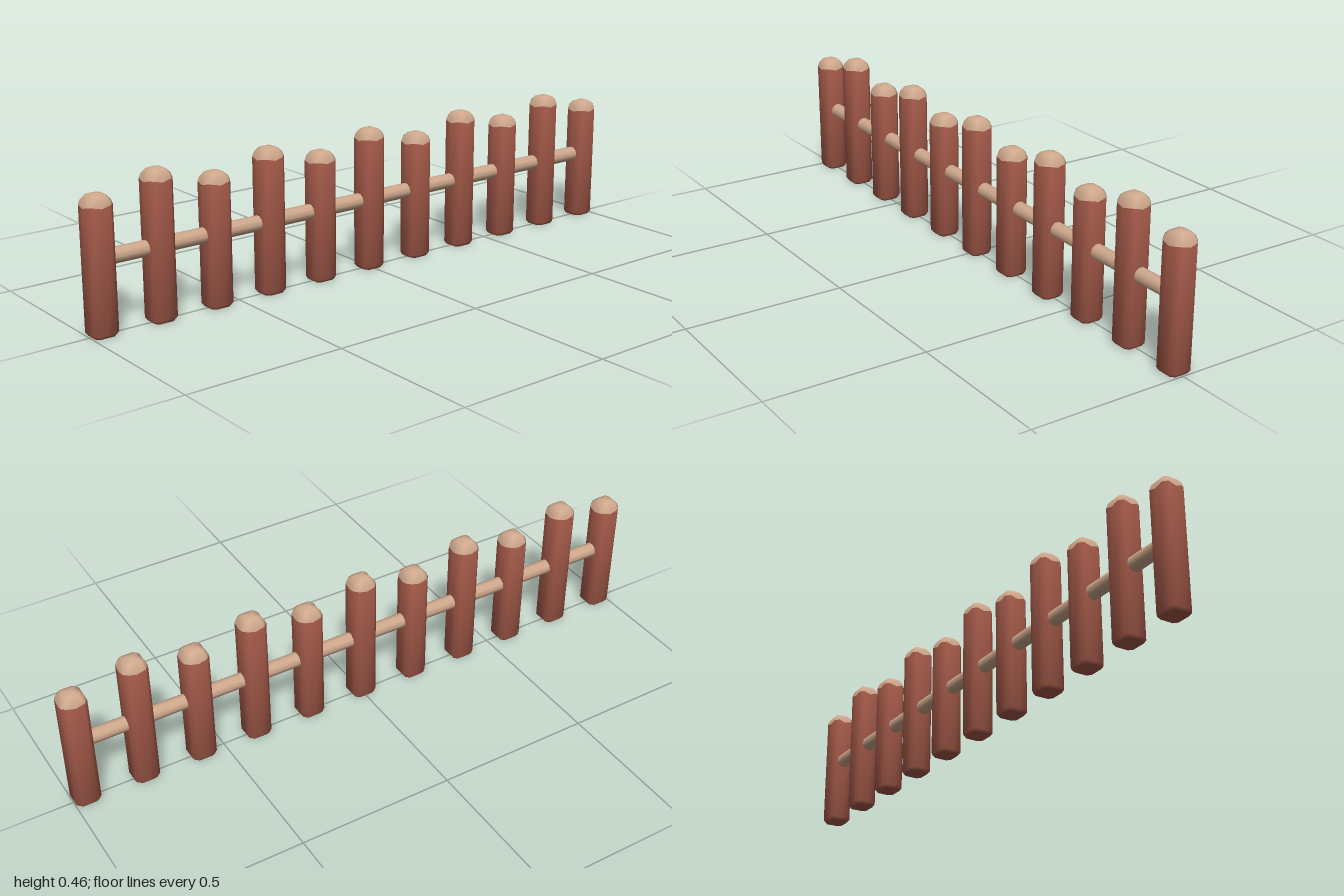
import * as THREE from 'three';

const HALF_X = 0.04, HALF_Z = 0.038;

// Square section with clipped corners: [x, z, isFaceCentre], running from +x towards +z
const section = [];
for (let q = 0; q < 4; q++) {
  const c = Math.round(Math.cos(q * Math.PI / 2)), s = Math.round(Math.sin(q * Math.PI / 2));
  for (const t of [-0.66, 0, 0.66]) section.push([(c - s * t) * HALF_X, (s + c * t) * HALF_Z, t === 0]);
}

// Joins rings of { y, scale, dip, tilt }; dip lowers the face centres, tilt leans the normals
function loft(rings, closeTop, closeBottom) {
  const n = section.length, pos = [], idx = [];
  for (const { y, scale = 1, dip = 0 } of rings) {
    for (const [x, z, mid] of section) pos.push(x * scale, y - (mid ? dip : 0), z * scale);
  }
  for (let j = 0; j < rings.length - 1; j++) {
    for (let i = 0; i < n; i++) {
      const a = j * n + i, c = j * n + (i + 1) % n;
      idx.push(a, a + n, c, c, a + n, c + n);
    }
  }
  const close = (ring, up) => {
    const centre = pos.length / 3;
    pos.push(0, rings[ring].y, 0);
    for (let i = 0; i < n; i++) {
      const a = ring * n + i, b = ring * n + (i + 1) % n;
      idx.push(centre, up ? b : a, up ? a : b);
    }
  };
  if (closeTop) close(rings.length - 1, true);
  if (closeBottom) close(0, false);
  const geo = new THREE.BufferGeometry();
  geo.setAttribute('position', new THREE.Float32BufferAttribute(pos, 3));
  geo.setIndex(idx);
  geo.computeVertexNormals();
  const normal = geo.attributes.normal, v = new THREE.Vector3();
  rings.forEach(({ tilt }, j) => {
    if (tilt === undefined) return;
    for (let i = j * n; i < (j + 1) * n; i++) {
      v.fromBufferAttribute(normal, i).setY(0).normalize().setY(tilt).normalize();
      normal.setXYZ(i, v.x, v.y, v.z);
    }
  });
  return geo;
}

// Post body with a bevelled foot and a wavy upper edge
const bodyGeometry = (h) => loft([
  { y: 0, scale: 0.82 },
  { y: 0.01, tilt: -0.3 },
  { y: h - 0.032, dip: 0.007, tilt: 0.2 },
], false, true);

// Rounded worn tip that continues the wavy edge
const tipGeometry = (h) => loft([
  { y: h - 0.032, dip: 0.007 },
  { y: h - 0.018, scale: 0.89, dip: 0.002 },
  { y: h - 0.006, scale: 0.63 },
  { y: h - 0.001, scale: 0.32 },
  { y: h, scale: 0.12 },
], true, false);

export function createModel() {
  const group = new THREE.Group();
  const redWood = new THREE.MeshStandardMaterial({ color: 0xa45a49 });
  redWood.name = 'redWood';
  const paleWood = new THREE.MeshStandardMaterial({ color: 0xcfa88c });
  paleWood.name = 'paleWood';

  const add = (parent, name, geometry, material) => {
    const mesh = new THREE.Mesh(geometry, material);
    mesh.name = name;
    parent.add(mesh);
    return mesh;
  };

  // Posts alternate between short and tall
  const sizes = [0.415, 0.457].map((h) => ({ body: bodyGeometry(h), tip: tipGeometry(h) }));
  for (let i = 0; i < 11; i++) {
    const post = new THREE.Group();
    post.name = `post${i + 1}`;
    post.position.x = -0.96 + i * 0.192;
    add(post, 'postBody', sizes[i % 2].body, redWood);
    add(post, 'postTip', sizes[i % 2].tip, paleWood);
    group.add(post);
  }

  // Round rail running through all posts
  const rail = add(group, 'rail', new THREE.CylinderGeometry(0.024, 0.024, 1.92, 10), paleWood);
  rail.rotation.z = Math.PI / 2;
  rail.position.set(0, 0.225, -0.001);

  return group;
}
